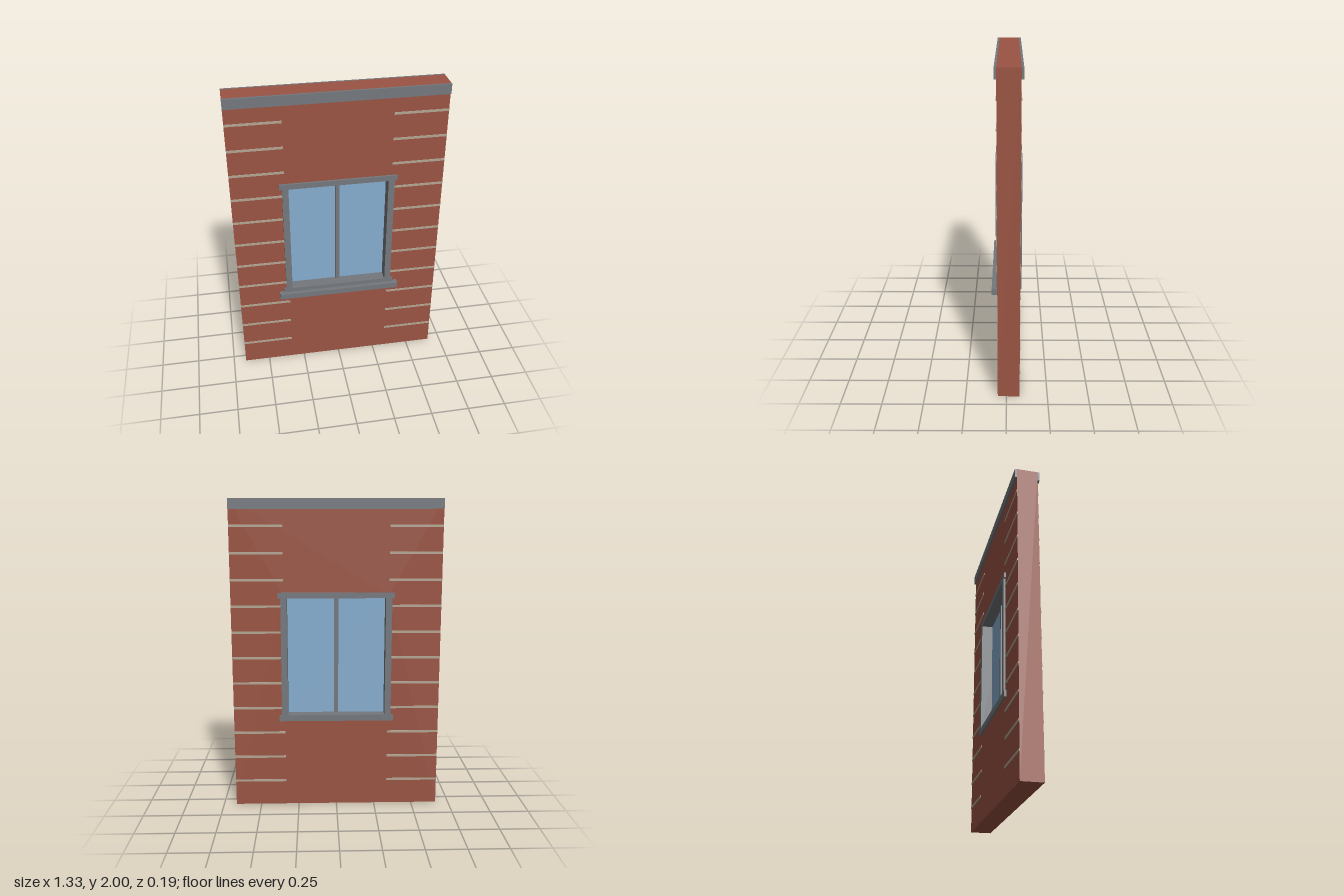
import * as THREE from 'three';

const flat = (name, color) => {
  const m = new THREE.MeshStandardMaterial({ color });
  m.name = name;
  return m;
};

export function createModel() {
  const brick = flat('brick red', 0x9a5443);
  const trim = flat('trim grey', 0x74787d);
  const glass = flat('glass blue', 0x86adcf);
  const mortar = flat('mortar beige', 0xb3a693);

  const model = new THREE.Group();
  model.name = 'wallWithWindow';

  // Box given by its minimum and maximum corners
  const box = (name, mat, [x0, y0, z0], [x1, y1, z1], parent = model) => {
    const mesh = new THREE.Mesh(new THREE.BoxGeometry(x1 - x0, y1 - y0, z1 - z0), mat);
    mesh.position.set((x0 + x1) / 2, (y0 + y1) / 2, (z0 + z1) / 2);
    mesh.name = name;
    parent.add(mesh);
    return mesh;
  };

  const W = 2 / 3, back = -0.08, front = 0.0533, mid = (back + front) / 2;
  const trimBack = -0.0933, trimFront = 0.0667;

  // Brick wall with a window opening
  const outline = new THREE.Shape([[-W, 0], [W, 0], [W, 2], [-W, 2]].map(p => new THREE.Vector2(...p)));
  outline.holes.push(new THREE.Path(
    [[-1 / 3, 0.6], [-1 / 3, 1.4], [1 / 3, 1.4], [1 / 3, 0.6]].map(p => new THREE.Vector2(...p))));
  const wall = new THREE.Mesh(
    new THREE.ExtrudeGeometry(outline, { depth: front - back, bevelEnabled: false }), brick);
  wall.position.z = back;
  wall.name = 'wall';
  model.add(wall);

  // Top trim boards on both faces
  box('topTrimFront', trim, [-W, 1.9367, front], [W, 2, trimFront]);
  box('topTrimBack', trim, [-W, 1.9367, trimBack], [W, 2, back]);

  // Mortar courses beside the window, on both faces
  const courses = new THREE.Group();
  courses.name = 'mortarCourses';
  model.add(courses);
  for (let i = 1; i <= 11; i++) {
    const y = i / 6, h = 0.0075, out = 0.0035;
    for (const [x0, x1] of [[-W, -1 / 3], [1 / 3, W]]) {
      box('mortarFront', mortar, [x0, y - h, front], [x1, y + h, front + out], courses);
      box('mortarBack', mortar, [x0, y - h, back - out], [x1, y + h, back], courses);
    }
  }

  // Window frame, running through the wall
  const win = new THREE.Group();
  win.name = 'window';
  model.add(win);
  for (const s of [-1, 1]) {
    box('frameJamb', trim, [s / 3 - 0.02, 0.62, trimBack], [s / 3 + 0.02, 1.387, trimFront], win);
  }
  box('frameHead', trim, [-0.37, 1.385, trimBack], [0.37, 1.42, trimFront], win);
  box('frameBottom', trim, [-0.37, 0.58, trimBack], [0.37, 0.62, trimFront], win);
  box('sill', trim, [-0.4, 0.555, front - 0.03], [0.4, 0.5925, 0.0933], win);

  // Glass pane and central mullion
  box('glassPane', glass, [-0.32, 0.61, mid - 0.0067], [0.32, 1.39, mid + 0.0067], win);
  box('mullion', trim, [-0.0135, 0.615, mid - 0.02], [0.0135, 1.39, mid + 0.02], win);

  return model;
}
